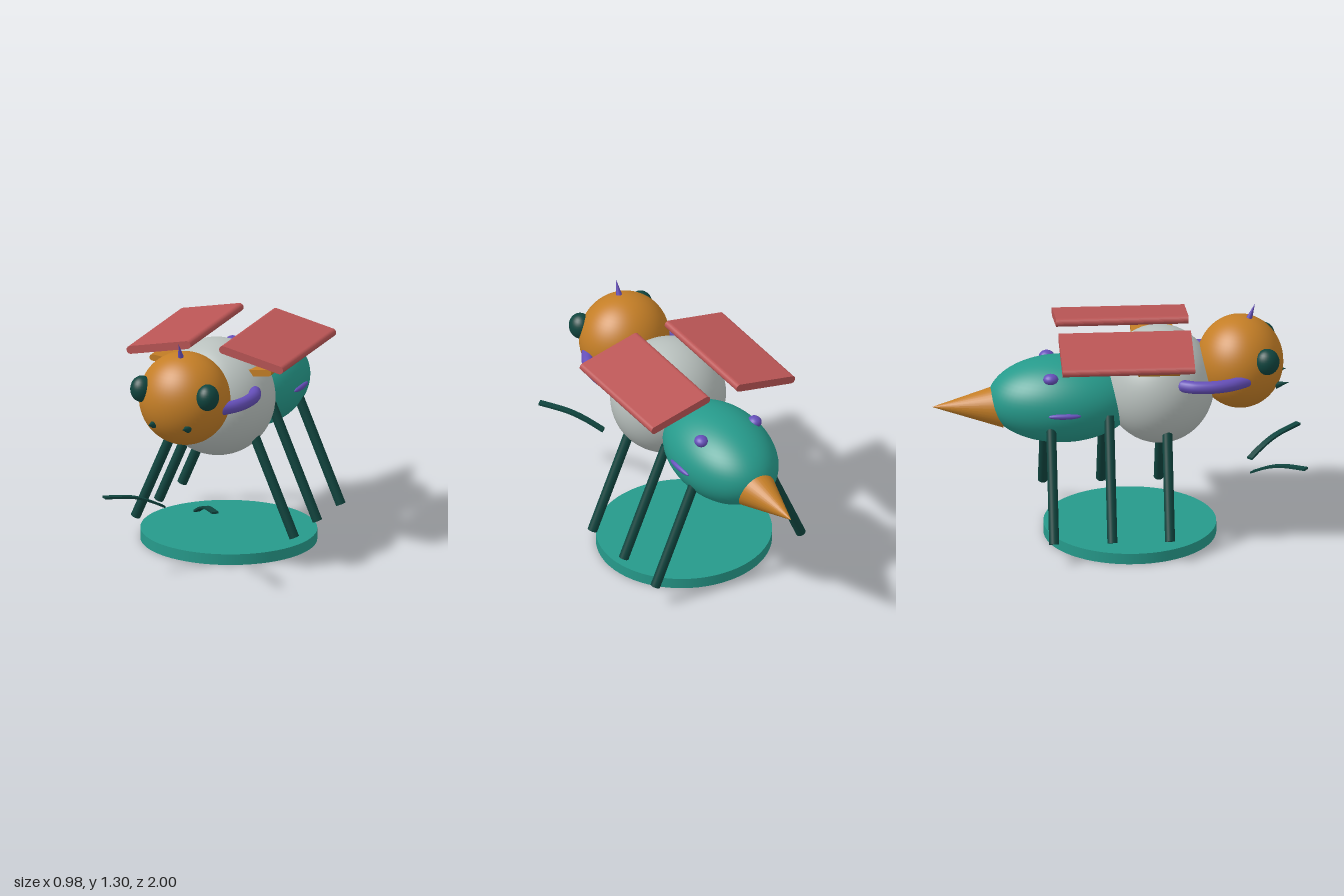
import * as THREE from 'three';

const mat = (name, color) => {
  const m = new THREE.MeshStandardMaterial({ color });
  m.name = name;
  return m;
};

export function createModel() {
  const teal = mat('teal', 0x269a8b);
  const orange = mat('orange', 0xc47e26);
  const grey = mat('grey', 0xb9c1be);
  const red = mat('red', 0xba5555);
  const purple = mat('purple', 0x654fb9);
  const dark = mat('dark green', 0x10453f);

  const model = new THREE.Group();
  model.name = 'insect';
  const V = (x, y, z) => new THREE.Vector3(x, y, z);

  const add = (name, geometry, material, x = 0, y = 0, z = 0) => {
    const mesh = new THREE.Mesh(geometry, material);
    mesh.name = name;
    mesh.position.set(x, y, z);
    model.add(mesh);
    return mesh;
  };

  // Sphere stretched to three radii
  const ellipsoid = (name, material, pos, radii, seg = 48) =>
    add(name, new THREE.SphereGeometry(1, seg, seg / 2).scale(...radii), material, ...pos);

  // Round rod or cone running from a to b
  const rod = (name, material, a, b, r0, r1) => {
    const dir = b.clone().sub(a);
    const mid = a.clone().add(b).multiplyScalar(0.5);
    const mesh = add(name, new THREE.CylinderGeometry(r1, r0, dir.length(), 32), material, mid.x, mid.y, mid.z);
    mesh.quaternion.setFromUnitVectors(V(0, 1, 0), dir.normalize());
    return mesh;
  };

  // Flat plate with rounded long edges, length along z
  const plate = (name, material, a, b, r, z0, z1) => {
    const half = Math.hypot(b[0] - a[0], b[1] - a[1]) / 2;
    const shape = new THREE.Shape();
    shape.absarc(half, 0, r, -Math.PI / 2, Math.PI / 2, false);
    shape.absarc(-half, 0, r, Math.PI / 2, Math.PI * 1.5, false);
    const geo = new THREE.ExtrudeGeometry(shape, { depth: z1 - z0, bevelEnabled: false, curveSegments: 12 });
    const mesh = add(name, geo, material, (a[0] + b[0]) / 2, (a[1] + b[1]) / 2, z0);
    mesh.rotation.z = Math.atan2(b[1] - a[1], b[0] - a[0]);
  };

  // Base disc
  add('base', new THREE.CylinderGeometry(1, 1, 0.06, 64).scale(0.477, 1, 0.464), teal, 0, 0.03, 0.064);

  // Body, stinger and horn
  ellipsoid('thorax', grey, [0, 0.85, 0.222], [0.317, 0.32, 0.297], 64);
  ellipsoid('head', orange, [0, 0.97, 0.656], [0.248, 0.254, 0.233], 64);
  ellipsoid('abdomen', teal, [0, 0.78, -0.3], [0.266, 0.234, 0.4], 64);
  rod('stinger', orange, V(0, 0.745, -0.62), V(0, 0.745, -1), 0.12, 0);
  rod('horn', purple, V(0, 1.185, 0.695), V(0, 1.297, 0.737), 0.022, 0);

  for (const s of [1, -1]) {
    const side = s > 0 ? 'left' : 'right';

    // Head details
    ellipsoid(side + 'Eye', dark, [s * 0.193, 1.037, 0.79], [0.061, 0.072, 0.066], 32);
    rod(side + 'Fang', dark, V(s * 0.1, 0.863, 0.84), V(s * 0.1, 0.879, 0.914), 0.021, 0);

    // Curved arm with rounded ends
    const path = [[0.27, 0.335], [0.295, 0.4], [0.297, 0.5], [0.272, 0.59], [0.22, 0.675]]
      .map(([x, z]) => V(s * x, 0.94, z));
    const r = 0.034;
    add(side + 'Arm', new THREE.TubeGeometry(new THREE.CatmullRomCurve3(path), 32, r, 16), purple);
    for (const p of [path[0], path[4]])
      ellipsoid(side + 'ArmEnd', purple, p.toArray(), [r, r, r], 16);

    // Wings
    plate(side + 'Wing', red, [s * 0.106, 1.172], [s * 0.436, 1.101], 0.022, -0.326, 0.386);
    plate(side + 'SmallWing', orange, [s * 0.14, 1.026], [s * 0.338, 1.049], 0.018, 0.088, 0.312);

    // Three splayed legs
    for (const z of [0.25, -0.06, -0.373])
      rod(side + 'Leg', dark, V(s * 0.464, 0.12, z), V(s * 0.194, 0.75, z), 0.027, 0.027);

    // Abdomen spots
    ellipsoid(side + 'UpperSpot', purple, [s * 0.17, 0.957, -0.372], [0.037, 0.03, 0.041], 24);
    ellipsoid(side + 'SideSpot', purple, [s * 0.262, 0.777, -0.302], [0.018, 0.016, 0.088], 24);

    // Antenna ribbon
    const curve = new THREE.SplineCurve([[0, 0.362], [0.108, 0.415], [0.212, 0.447], [0.36, 0.465]]
      .map(([x, y]) => new THREE.Vector2(x, y)));
    const pts = curve.getPoints(16);
    const h = 0.006;
    const outline = [
      ...pts.map((p) => new THREE.Vector2(p.x, p.y - h)),
      ...pts.slice().reverse().map((p) => new THREE.Vector2(p.x, p.y + h)),
    ];
    const ribbon = new THREE.ExtrudeGeometry(new THREE.Shape(outline), { depth: 0.036, bevelEnabled: false });
    ribbon.translate(0, 0, -0.018);
    const antenna = add(side + 'Antenna', ribbon, dark, s * 0.095, 0, 0.714);
    const angle = Math.atan2(0.77, 0.64);
    antenna.rotation.y = s > 0 ? -angle : angle - Math.PI;
  }
  return model;
}
